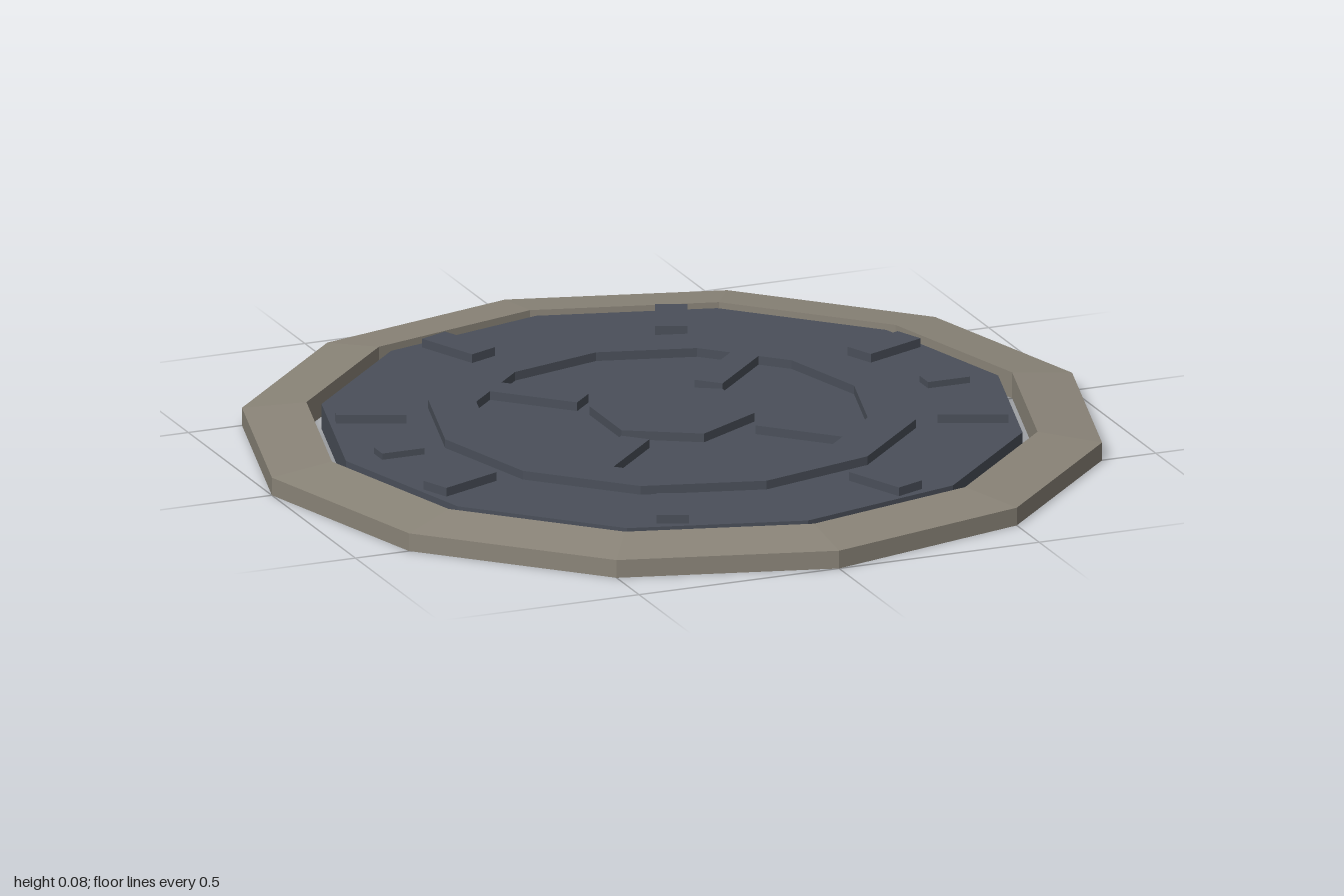
import * as THREE from 'three';

export function createModel() {
  const model = new THREE.Group();
  const stone = new THREE.MeshStandardMaterial({ color: 0x8a8478, flatShading: true, side: THREE.DoubleSide });
  stone.name = 'warm grey';
  const iron = new THREE.MeshStandardMaterial({ color: 0x4a4f59, flatShading: true });
  iron.name = 'dark iron';

  const add = (name, geometry, material, y = 0) => {
    const mesh = new THREE.Mesh(geometry, material);
    mesh.name = name;
    mesh.position.y = y;
    model.add(mesh);
    return mesh;
  };
  const polar = (r, deg, offset = 0) => {
    const a = THREE.MathUtils.degToRad(deg);
    return new THREE.Vector2(r * Math.cos(a) - offset * Math.sin(a), r * Math.sin(a) + offset * Math.cos(a));
  };

  // Twelve-sided frame, hollow underneath, its top sloping up to the opening
  const profile = [[1, 0], [1, 0.043], [0.85, 0.063], [0.85, 0]].map(([r, y]) => new THREE.Vector2(r, y));
  add('frame', new THREE.LatheGeometry(profile, 12), stone);

  // Cover plate
  const top = 0.06, relief = 0.021;
  add('coverPlate', new THREE.CylinderGeometry(0.815, 0.815, top, 12), iron, top / 2);

  // Raised ring with four spokes pointing inward, as one outline
  const outer = [], inner = [];
  for (let i = 0; i < 12; i++) outer.push(polar(0.567, i * 30));
  const edge = 0.455 * Math.cos(Math.PI / 12);
  for (let q = 0; q < 360; q += 90) {
    inner.push(polar(0.455, q), polar(0.455, q + 30));
    inner.push(polar(edge, q + 45, -0.035), polar(0.222, q + 45, -0.035));
    inner.push(polar(0.222, q + 45, 0.035), polar(edge, q + 45, 0.035));
    inner.push(polar(0.455, q + 60));
  }
  const ring = new THREE.Shape(outer);
  ring.holes.push(new THREE.Path(inner));
  const ringGeometry = new THREE.ExtrudeGeometry(ring, { depth: relief, bevelEnabled: false });
  ringGeometry.rotateX(-Math.PI / 2);
  add('spokedRing', ringGeometry, iron, top);

  // Central hexagonal boss
  add('centreBoss', new THREE.CylinderGeometry(0.192, 0.192, relief, 6), iron, top + relief / 2);

  // Radial grip blocks around the rim
  const block = (name, deg, r, length, height, width) => {
    const mesh = add(name, new THREE.BoxGeometry(length, height, width), iron, top + height / 2);
    const p = polar(r, deg);
    mesh.position.x = p.x;
    mesh.position.z = -p.y;
    mesh.rotation.y = THREE.MathUtils.degToRad(deg);
  };
  for (let i = 0; i < 8; i++) block('gripBlock', 22.5 + i * 45, 0.694, 0.163, relief, 0.075);
  for (const deg of [0, 180]) block('smallBlock', deg, 0.682, 0.105, 0.015, 0.05);

  return model;
}
